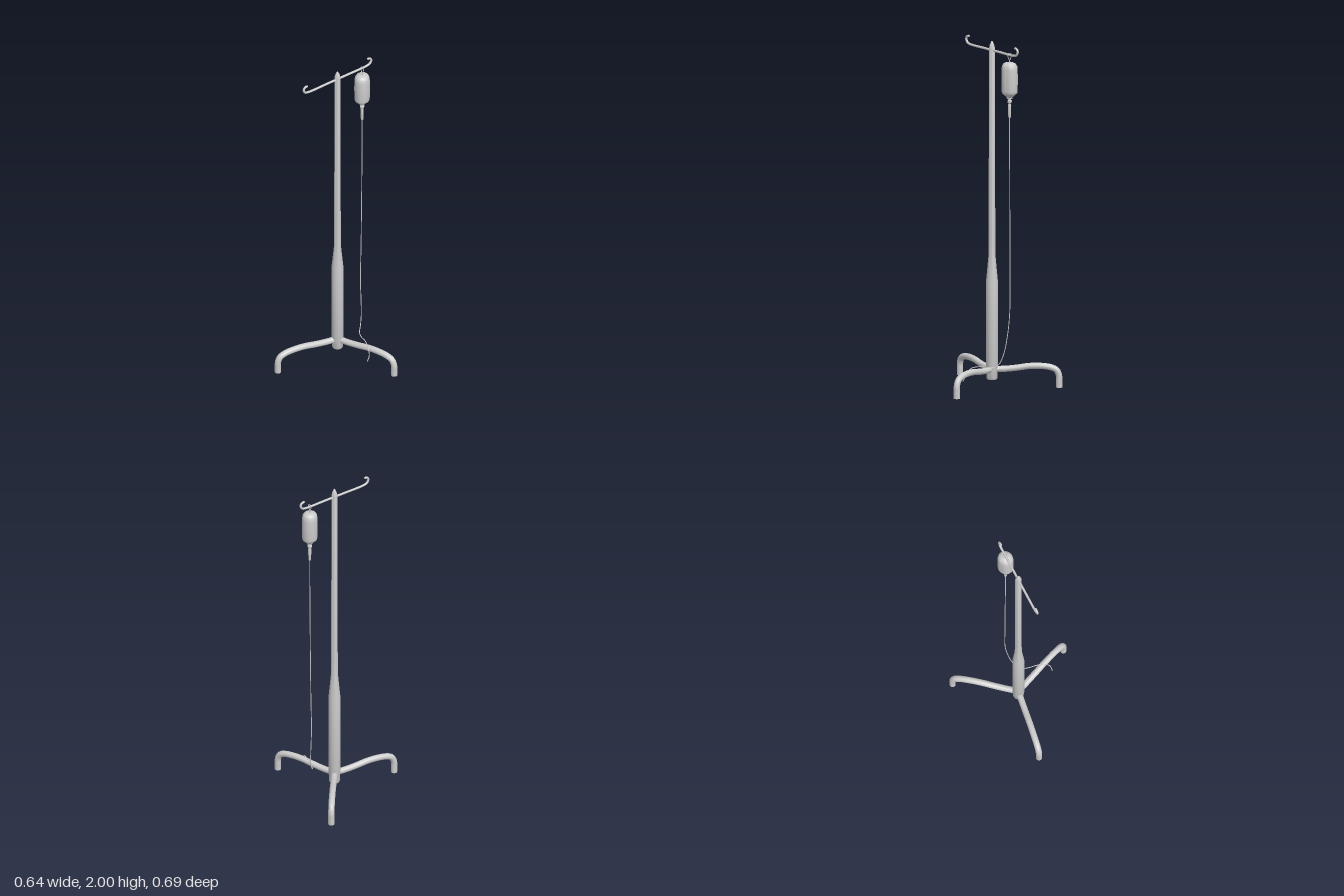
import * as THREE from 'three';
import { toCreasedNormals } from 'three/addons/utils/BufferGeometryUtils.js';

const material = new THREE.MeshStandardMaterial({ color: 0xcccccc, side: THREE.DoubleSide });
const V = (x, y, z) => new THREE.Vector3(x, y, z);

function addMesh(parent, name, geometry) {
  const mesh = new THREE.Mesh(geometry, material);
  mesh.name = name;
  parent.add(mesh);
  return mesh;
}

// Turned part from [radius, height] pairs listed from bottom to top
function turned(profile, sides = 20) {
  const points = profile.map(([r, y]) => new THREE.Vector2(r, y));
  return toCreasedNormals(new THREE.LatheGeometry(points, sides), 0.7);
}

function tube(points, radius, steps, sides = 12, closed = false) {
  const curve = new THREE.CatmullRomCurve3(points, closed, 'centripetal');
  return new THREE.TubeGeometry(curve, steps, radius, sides, closed);
}

export function createModel() {
  const model = new THREE.Group();
  model.name = 'dripStand';

  const stand = new THREE.Group();
  stand.name = 'stand';
  stand.position.set(-0.082, 0, 0.014);
  model.add(stand);

  // Pole: thick lower sleeve, tapering to a thin rod with a pointed tip
  addMesh(stand, 'pole', turned([
    [0, 0.045], [0.027, 0.045], [0.031, 0.052], [0.031, 0.09], [0.034, 0.1],
    [0.034, 0.61], [0.021, 0.75], [0.019, 0.85], [0.0175, 1.955], [0.013, 1.975], [0.004, 1.997], [0, 2],
  ]));

  // Three bent legs, each with a flat foot
  for (let i = 0; i < 3; i++) {
    const leg = new THREE.Group();
    leg.name = 'leg' + (i + 1);
    leg.rotation.y = -THREE.MathUtils.degToRad(5.5 + i * 120);
    addMesh(leg, 'legTube', tube([
      V(0, 0.104, 0), V(0.07, 0.105, 0), V(0.14, 0.112, 0), V(0.21, 0.122, 0), V(0.28, 0.123, 0),
      V(0.335, 0.115, 0), V(0.365, 0.1, 0), V(0.379, 0.07, 0), V(0.38, 0.04, 0), V(0.38, 0, 0),
    ], 0.018, 40, 16));
    const foot = addMesh(leg, 'footCap', new THREE.CircleGeometry(0.018, 16));
    foot.rotation.x = Math.PI / 2;
    foot.position.set(0.38, 0.0005, 0);
    stand.add(leg);
  }

  // Cross bar with a hook curling up and inward at each end
  const crossBar = new THREE.Group();
  crossBar.name = 'crossBar';
  crossBar.rotation.y = Math.atan2(0.896, 0.444);
  stand.add(crossBar);
  const hook = [[0.06, 1.945], [0.205, 1.946], [0.226, 1.952], [0.237, 1.967], [0.236, 1.98], [0.227, 1.989], [0.216, 1.991]];
  const right = hook.map(([x, y]) => V(x, y, 0));
  const left = hook.map(([x, y]) => V(-x, y, 0)).reverse();
  addMesh(crossBar, 'hookBar', tube([...left, ...right], 0.0068, 90, 10));
  for (const side of [-1, 1]) {
    const tip = addMesh(crossBar, 'hookTip', new THREE.SphereGeometry(0.0068, 10, 8));
    tip.position.set(side * 0.216, 1.991, 0);
  }

  // Bottle hung from the bar, slightly deeper than wide
  const drip = new THREE.Group();
  drip.name = 'drip';
  drip.position.set(-0.002, 0, -0.136);
  model.add(drip);
  const bottle = addMesh(drip, 'bottle', turned([
    [0, 1.903], [0.022, 1.902], [0.034, 1.895], [0.041, 1.882], [0.043, 1.86], [0.044, 1.81],
    [0.043, 1.74], [0.041, 1.726], [0.027, 1.712], [0.016, 1.702], [0.015, 1.694], [0, 1.694],
  ].reverse(), 18));
  bottle.scale.z = 1.08;

  // Stopper and drip chamber
  addMesh(drip, 'stopper', turned([
    [0.006, 1.655], [0.006, 1.668], [0.012, 1.671], [0.013, 1.682], [0.008, 1.686], [0.008, 1.696],
  ], 14));
  addMesh(drip, 'dripChamber', turned([
    [0, 1.582], [0.006, 1.583], [0.008, 1.592], [0.0095, 1.655], [0.008, 1.663], [0, 1.663],
  ], 14));

  // Hanger loop across the bar
  const hanger = new THREE.Group();
  hanger.name = 'hanger';
  hanger.rotation.y = -0.46;
  drip.add(hanger);
  addMesh(hanger, 'hangerLoop', tube([
    V(0, 1.915, 0), V(0.009, 1.929, 0), V(0.013, 1.943, 0), V(0.008, 1.953, 0),
    V(0, 1.956, 0), V(-0.008, 1.953, 0), V(-0.013, 1.943, 0), V(-0.009, 1.929, 0),
  ], 0.0022, 36, 8, true));
  const stem = addMesh(hanger, 'hangerStem', new THREE.CylinderGeometry(0.0035, 0.0045, 0.018, 10));
  stem.position.y = 1.908;

  // Thin line hanging down, then trailing over the legs
  addMesh(model, 'dripLine', tube([
    V(-0.002, 1.59, -0.136), V(-0.003, 1.3, -0.136), V(-0.006, 0.95, -0.136), V(-0.009, 0.65, -0.135),
    V(-0.011, 0.45, -0.132), V(-0.002, 0.32, -0.122), V(0.008, 0.22, -0.105), V(0.015, 0.16, -0.08),
    V(0.022, 0.138, -0.055), V(0.05, 0.14, -0.02), V(0.095, 0.149, 0.017), V(0.125, 0.142, 0.045),
    V(0.143, 0.115, 0.062), V(0.148, 0.09, 0.073), V(0.143, 0.066, 0.086),
  ], 0.0025, 140, 8));

  return model;
}
